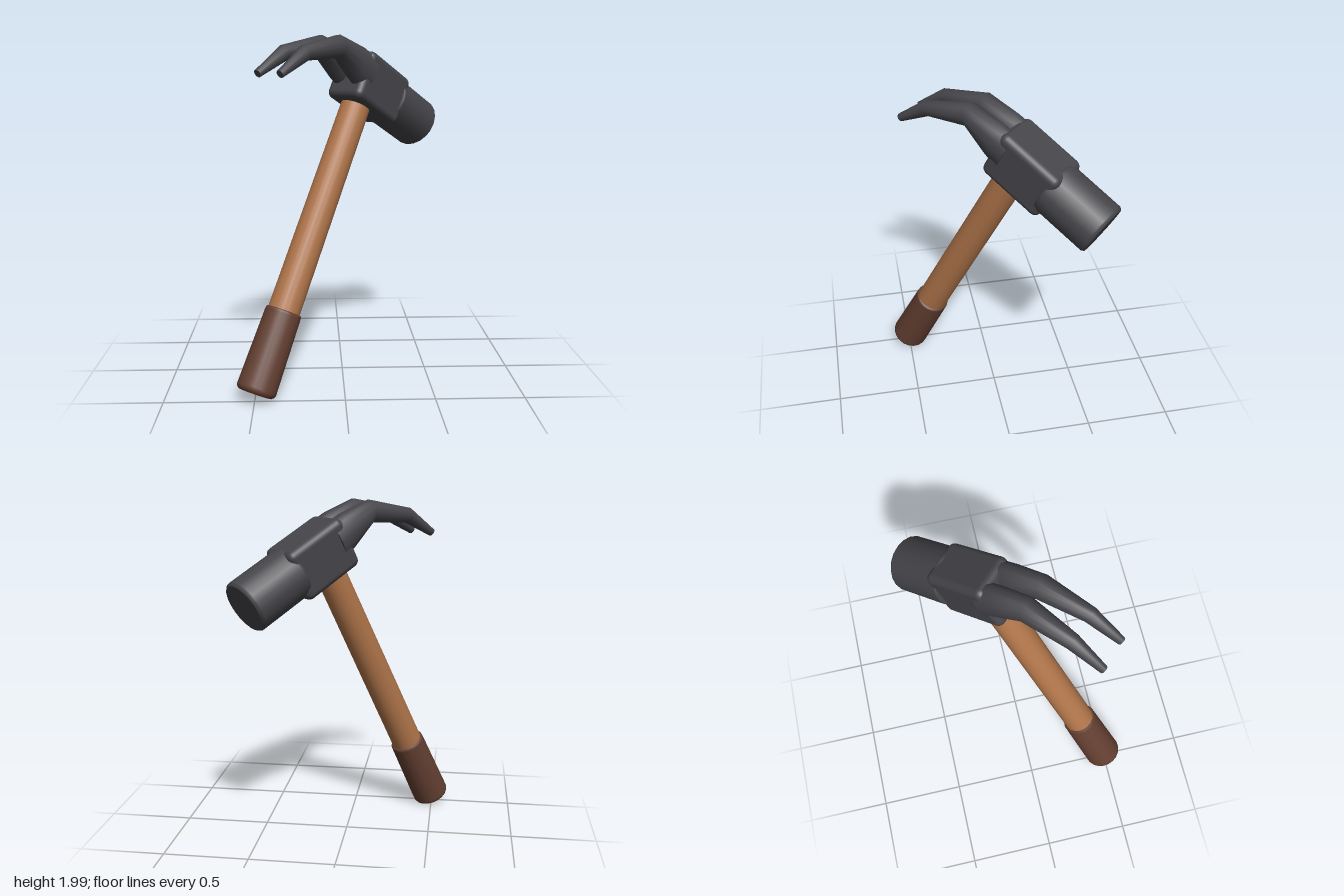
import * as THREE from 'three';
import { RoundedBoxGeometry } from 'three/addons/geometries/RoundedBoxGeometry.js';

const SIDES = 20;

function material(name, color) {
  const m = new THREE.MeshStandardMaterial({ color });
  m.name = name;
  return m;
}

// Turned solid around y, from [radius, height] pairs listed upwards
function turned(points) {
  return new THREE.LatheGeometry(points.map(([r, y]) => new THREE.Vector2(r, y)), SIDES);
}

// Tapered claw lofted through tilted oval sections; side is +1 or -1
function clawGeometry(side) {
  // x, y, tilt, half height, offset from centre, half width
  const sections = [
    [-0.07, 1.915, 0.0, 0.115, 0.07, 0.076],
    [-0.17, 1.925, 0.05, 0.105, 0.07, 0.074],
    [-0.357, 1.938, 0.4, 0.065, 0.07, 0.066],
    [-0.58, 1.78, 0.87, 0.045, 0.083, 0.043],
    [-0.695, 1.595, 1.03, 0.023, 0.088, 0.023],
  ];
  const n = 14;
  const pos = [];
  const index = [];
  const addRing = ([x, y, tilt, h, z, w]) => {
    for (let j = 0; j < n; j++) {
      const t = (j / n) * Math.PI * 2;
      const k = h * Math.sin(t);
      pos.push(x - Math.sin(tilt) * k, y + Math.cos(tilt) * k, side * z + w * Math.cos(t));
    }
  };
  sections.forEach(addRing);
  for (let i = 0; i < sections.length - 1; i++) {
    for (let j = 0; j < n; j++) {
      const a = i * n + j;
      const b = i * n + ((j + 1) % n);
      index.push(a, b, a + n, b, b + n, a + n);
    }
  }
  // End caps with their own vertices so the rims stay sharp
  [[sections[0], true], [sections[sections.length - 1], false]].forEach(([s, flip]) => {
    const first = pos.length / 3;
    addRing(s);
    for (let j = 1; j < n - 1; j++) {
      if (flip) index.push(first, first + j + 1, first + j);
      else index.push(first, first + j, first + j + 1);
    }
  });
  const g = new THREE.BufferGeometry();
  g.setAttribute('position', new THREE.Float32BufferAttribute(pos, 3));
  g.setIndex(index);
  g.computeVertexNormals();
  return g;
}

export function createModel() {
  const steel = material('dark steel', 0x45454a);
  const wood = material('wood', 0xb0754a);
  const leather = material('brown grip', 0x633f31);

  const model = new THREE.Group();
  model.name = 'clawHammer';

  // Upright hammer, leaned over and turned diagonally
  const hammer = new THREE.Group();
  hammer.name = 'hammer';
  hammer.rotation.order = 'YXZ';
  hammer.rotation.set(0, Math.PI / 4, THREE.MathUtils.degToRad(-28));
  hammer.position.set(-0.497, 0.057, 0.497);
  model.add(hammer);

  const add = (name, geometry, mat) => {
    const mesh = new THREE.Mesh(geometry, mat);
    mesh.name = name;
    hammer.add(mesh);
    return mesh;
  };

  // Wooden handle, its end just showing below the grip
  const handle = add('handle', new THREE.CylinderGeometry(0.087, 0.095, 1.8, SIDES), wood);
  handle.position.y = 0.9;
  const handleEnd = add('handleEnd', new THREE.CylinderGeometry(0.075, 0.075, 0.006, SIDES), wood);
  handleEnd.position.y = 0.001;

  // Grip sleeve with softened rims
  add('grip', turned([
    [0, 0], [0.09, 0], [0.095, 0], [0.11, 0.012], [0.114, 0.025], [0.114, 0.035],
    [0.105, 0.462], [0.104, 0.47], [0.1, 0.479], [0.085, 0.48],
  ]), leather);

  // Head block
  const block = add('headBlock', new RoundedBoxGeometry(0.4, 0.3, 0.265, 4, 0.04), steel);
  block.position.set(0.06, 1.887, 0);

  // Striking face
  const striker = add('striker', turned([
    [0, 0], [0.145, 0], [0.15, 0.003], [0.154, 0.012], [0.154, 0.02],
    [0.154, 0.335], [0.153, 0.343], [0.143, 0.355], [0.138, 0.356], [0, 0.356],
  ]), steel);
  striker.rotation.z = -Math.PI / 2;
  striker.position.set(0.21, 1.89, 0);

  // Pair of claws
  add('leftClaw', clawGeometry(1), steel);
  add('rightClaw', clawGeometry(-1), steel);

  return model;
}
